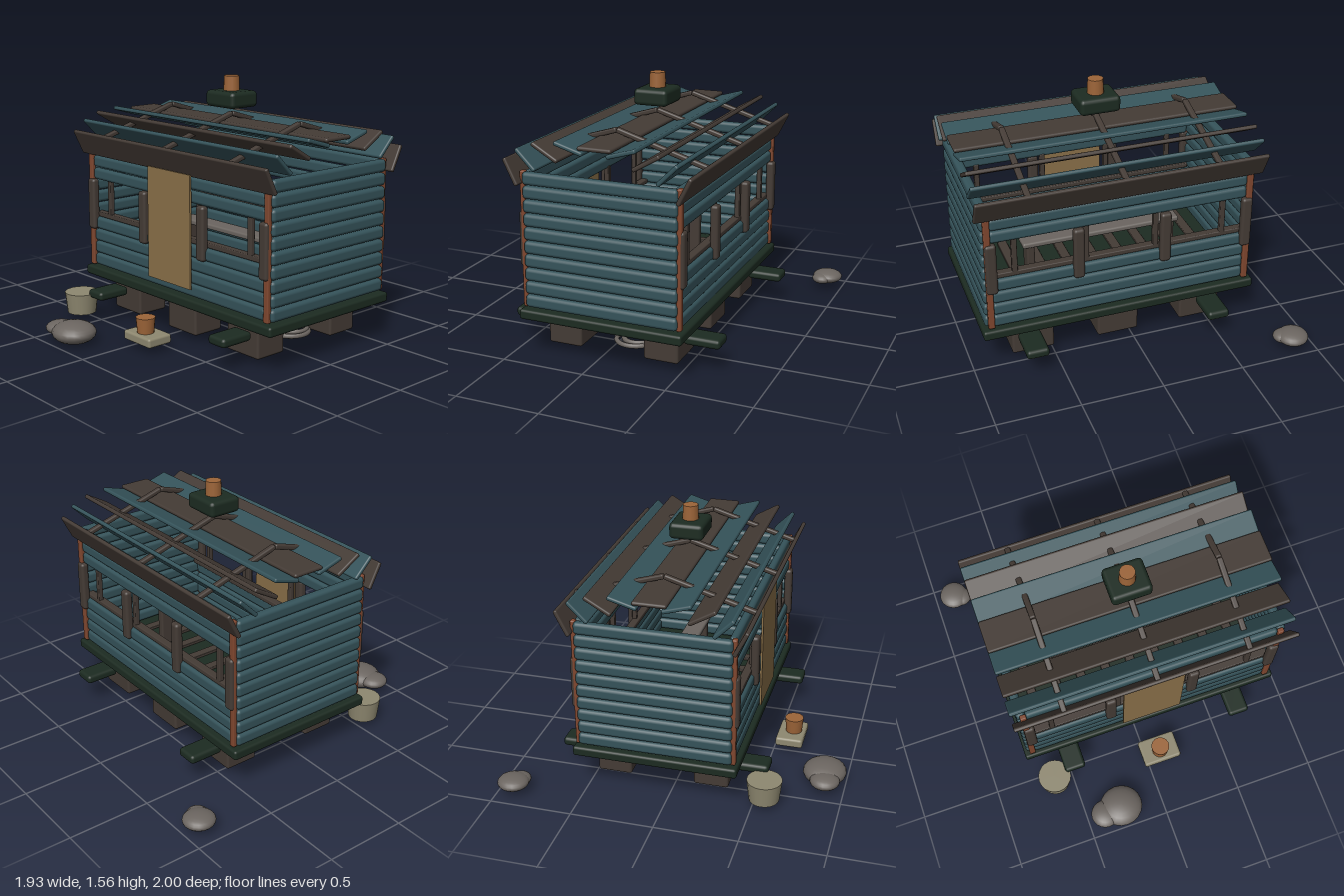
import * as THREE from 'three';
import { RoundedBoxGeometry } from 'three/addons/geometries/RoundedBoxGeometry.js';

const mat = (name, color) => {
  const m = new THREE.MeshStandardMaterial({ color });
  m.name = name;
  return m;
};

export function createModel() {
  const teal = mat('teal paint', 0x35535a);
  const brown = mat('dark wood', 0x443b35);
  const green = mat('dark green', 0x1c2b21);
  const red = mat('red wood', 0x80472f);
  const tan = mat('door tan', 0x8a7049);
  const cream = mat('pale stone', 0x8e8870);
  const clay = mat('clay', 0x9c6438);
  const stone = mat('grey stone', 0x6b6560);

  const model = new THREE.Group();
  const CX = 0.092, CZ = -0.07; // centre of the cabin

  const add = (name, geo, material, x, y, z, parent = model) => {
    const mesh = new THREE.Mesh(geo, material);
    mesh.name = name;
    mesh.position.set(x, y, z);
    parent.add(mesh);
    return mesh;
  };
  const group = (name) => {
    const g = new THREE.Group();
    g.name = name;
    model.add(g);
    return g;
  };
  const box = (name, w, h, d, material, x, y, z, parent, r = 0.012) =>
    add(name, new RoundedBoxGeometry(w, h, d, 2, Math.min(r, w / 2.1, h / 2.1, d / 2.1)), material, x, y, z, parent);
  // Board whose cross-section runs between two (z, y) points
  const slope = (name, w, t, z1, y1, z2, y2, material, x, parent) => {
    const b = box(name, w, t, Math.hypot(z2 - z1, y2 - y1), material, x, (y1 + y2) / 2, (z1 + z2) / 2, parent, 0.01);
    b.rotation.x = -Math.atan2(y2 - y1, z2 - z1);
    return b;
  };

  // Foundation blocks, floor and skid ends
  const base = group('base');
  for (const x of [-0.44, CX, 0.626])
    for (const z of [0.23, -0.37]) box('foundationBlock', 0.258, 0.195, 0.21, brown, x, 0.138, z, base, 0.015);
  box('floor', 1.695, 0.06, 0.99, green, CX, 0.27, CZ, base, 0.015);
  for (const x of [-0.473, 0.659])
    for (const s of [1, -1]) box('skidEnd', 0.135, 0.055, 0.215, green, x, 0.183, CZ + s * 0.532, base, 0.02);

  // End walls: ten boards each
  const walls = group('walls');
  const rowY = (i) => 0.35 + i * 0.08;
  for (const s of [1, -1])
    for (let i = 0; i < 10; i++)
      box('endBoard', 0.055, 0.075, 0.925, teal, CX + s * 0.805, rowY(i), CZ, walls, 0.022);

  // Long walls: boards below and above the window band, uprights and sill
  for (const s of [1, -1]) {
    const z = CZ + s * 0.45;
    for (const i of [0, 1, 2, 3, 7, 8, 9])
      box('longBoard', 1.56, i > 6 ? 0.074 : 0.076, 0.045, teal, CX, rowY(i), z, walls, 0.02);
    box('windowSill', 1.56, 0.03, 0.05, brown, CX, 0.645, z - s * 0.02, walls, 0.006);
    for (const dx of [-0.78, -0.265, 0.265, 0.78])
      box('windowPost', 0.066, 0.325, 0.05, brown, CX + dx, 0.713, z + s * 0.022, walls, 0.018);
    for (let i = 0; i < 4; i++)
      box('thinUpright', 0.033, 0.25, 0.03, brown, CX + (i - 1.5) * 0.425, 0.765, z - s * 0.01, walls, 0.006);
    for (const e of [1, -1])
      box('cornerPost', 0.038, 0.8, 0.03, red, CX + e * 0.795, 0.71, CZ + s * 0.467, walls, 0.008);
  }

  // Door panel
  add('door', new THREE.BoxGeometry(0.385, 0.68, 0.012), tan, CX, 0.705, 0.424);

  // Interior bench
  const bench = group('bench');
  box('benchTop', 1.0, 0.035, 0.12, stone, CX, 0.585, -0.13, bench);
  for (const s of [1, -1]) box('benchLeg', 0.05, 0.28, 0.1, brown, CX + s * 0.45, 0.44, -0.13, bench);
  for (let i = 0; i < 9; i++)
    box('floorSlat', 0.06, 0.02, 0.8, brown, CX + (i - 4) * 0.17, 0.31, CZ, bench, 0.005);

  // Roof: rafters and lapped boards on both slopes
  const roof = group('roof');
  const W = 1.735;
  for (const s of [1, -1]) {
    for (const x of [-0.473, CX, 0.659])
      slope('rafter', 0.035, 0.03, CZ, 1.332, CZ + s * 0.55, 1.165, brown, x, roof);
    const boards = [
      [0.07, 1.25, 0.24, 1.3, teal],
      [0.22, 1.195, 0.375, 1.285, brown],
      [0.36, 1.13, 0.475, 1.245, teal],
      [0.475, 1.035, 0.55, 1.185, brown],
    ];
    for (const [z1, y1, z2, y2, m] of boards)
      slope('roofBoard', W, 0.025, CZ + s * z1, y1, CZ + s * z2, y2, m, CX, roof);
  }
  box('ridgeBoard', W, 0.025, 0.2, brown, CX, 1.283, CZ, roof);

  // Chimney
  const chimney = group('chimney');
  box('chimneyBase', 0.245, 0.098, 0.21, green, CX, 1.423, CZ, chimney, 0.025);
  add('chimneyPipe', new THREE.CylinderGeometry(0.046, 0.05, 0.1, 14), clay, CX, 1.51, CZ, chimney);

  // Doorstep with a pot, and a bucket
  box('doorstep', 0.245, 0.058, 0.17, cream, CX, 0.072, 0.598, model, 0.015);
  add('pot', new THREE.CylinderGeometry(0.058, 0.05, 0.1, 18), clay, CX, 0.145, 0.61);
  add('bucket', new THREE.CylinderGeometry(0.105, 0.09, 0.132, 20), cream, -0.618, 0.111, 0.565);

  // Rope coil beneath the floor
  const coil = group('ropeCoil');
  [[0.115, 0.06, -0.13], [0.09, 0.073, -0.15]].forEach(([r, y, z]) => {
    add('ropeRing', new THREE.TorusGeometry(r, 0.015, 8, 28), stone, 0.55, y, z, coil).rotation.x = Math.PI / 2;
  });

  // Rounded stones
  const stones = group('stones');
  for (const [x, y, z, rx, ry, rz] of [
    [-0.27, 0.068, 0.868, 0.138, 0.066, 0.132],
    [-0.385, 0.073, 0.885, 0.09, 0.042, 0.09],
    [-0.872, 0.075, -0.905, 0.094, 0.042, 0.095],
    [-0.828, 0.07, -0.88, 0.07, 0.035, 0.065],
  ])
    add('stone', new THREE.SphereGeometry(1, 20, 12), stone, x, y, z, stones).scale.set(rx, ry, rz);

  return model;
}
